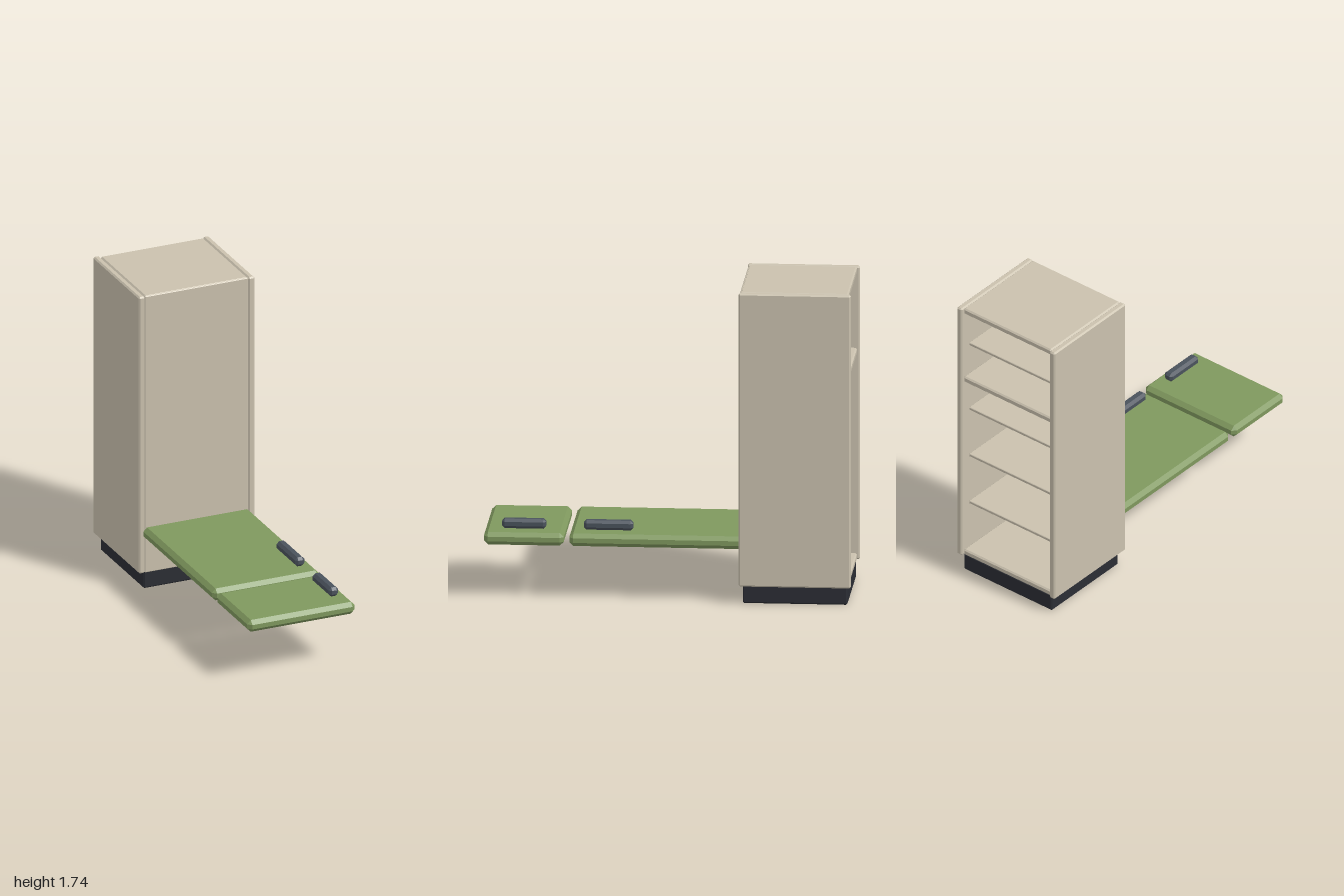
import * as THREE from 'three';
import { ConvexGeometry } from 'three/addons/geometries/ConvexGeometry.js';

const mat = (name, color) => {
  const m = new THREE.MeshStandardMaterial({ color });
  m.name = name;
  return m;
};

// Box with every edge chamfered by c: three shrunken corner points per corner
function chamferBox(w, h, d, c) {
  const half = [w / 2, h / 2, d / 2];
  const points = [];
  for (const sx of [-1, 1]) for (const sy of [-1, 1]) for (const sz of [-1, 1]) {
    for (let axis = 0; axis < 3; axis++) {
      const p = half.map((v, i) => (i === axis ? v : v - c));
      points.push(new THREE.Vector3(p[0] * sx, p[1] * sy, p[2] * sz));
    }
  }
  return new ConvexGeometry(points);
}

export function createModel() {
  const cream = mat('cream board', 0xcac1ae);
  const green = mat('green door', 0x7f985e);
  const slate = mat('slate handle', 0x4a525c);
  const dark = mat('dark plinth', 0x2b2d34);

  const root = new THREE.Group();
  root.name = 'cabinet';

  // Each part is given by its [min, max] range along x, y and z
  const add = (name, material, x, y, z, c) => {
    const size = [x, y, z].map(([a, b]) => b - a);
    const mesh = new THREE.Mesh(chamferBox(...size, c), material);
    mesh.position.set(...[x, y, z].map(([a, b]) => (a + b) / 2));
    mesh.name = name;
    root.add(mesh);
  };

  // Plinth
  add('plinth', dark, [-0.31, 0.31], [0, 0.105], [-0.98, -0.41], 0.008);

  // Carcass: two sides, front board, top, fixed shelf and bottom
  add('leftSide', cream, [0.308, 0.345], [0.1, 1.74], [-1, -0.39], 0.008);
  add('rightSide', cream, [-0.345, -0.308], [0.1, 1.74], [-1, -0.39], 0.008);
  add('frontBoard', cream, [-0.308, 0.308], [0.1, 1.738], [-0.415, -0.395], 0.004);
  const inner = [-0.308, 0.308];
  add('topBoard', cream, inner, [1.703, 1.74], [-0.985, -0.397], 0.008);
  add('fixedShelf', cream, inner, [1.25, 1.287], [-0.985, -0.405], 0.008);
  add('bottomBoard', cream, inner, [0.1, 0.137], [-0.985, -0.397], 0.008);

  // Thin loose shelves, set back from the open side
  for (const y of [0.427, 0.74, 1.05, 1.48]) {
    add('looseShelf', cream, [-0.305, 0.305], [y - 0.009, y + 0.009], [-0.94, -0.405], 0.003);
  }

  // Two doors lying flat, each with a bar handle just above it
  const doorX = [-0.32, 0.32], doorY = [0.3, 0.37];
  add('longDoor', green, doorX, doorY, [-0.412, 0.535], 0.022);
  add('shortDoor', green, doorX, doorY, [0.565, 1], 0.022);
  for (const z of [[0.19, 0.46], [0.665, 0.905]]) {
    add('handle', slate, [0.205, 0.262], [0.38, 0.433], z, 0.015);
  }
  return root;
}
